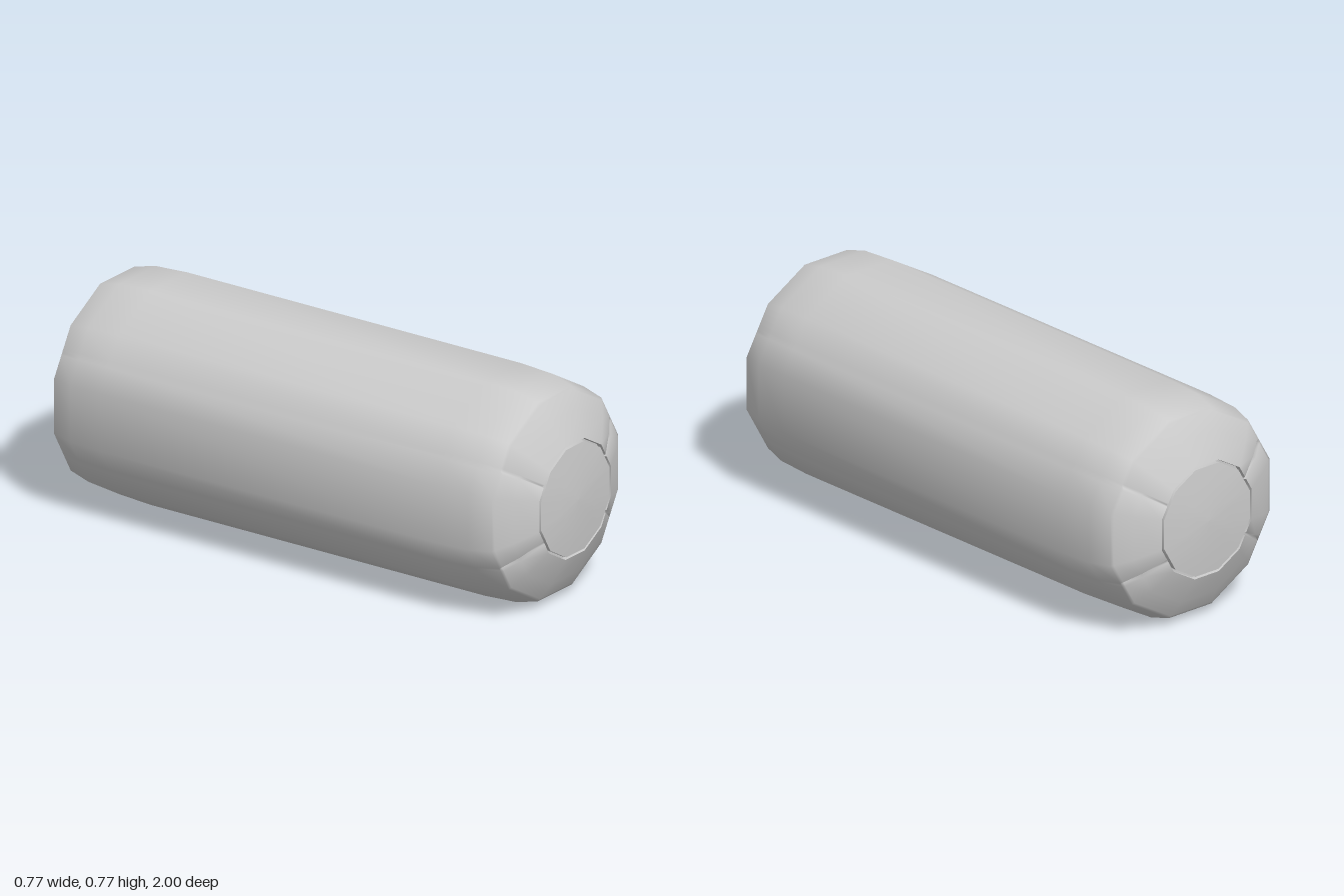
import * as THREE from 'three';

const material = new THREE.MeshStandardMaterial({ color: 0xcccccc, side: THREE.DoubleSide });
const APOTHEM = 0.383;
const rad = THREE.MathUtils.degToRad;

// Columns round the twelve-sided section: the corners, plus three per seam groove
const columns = [];
for (let k = 0; k < 12; k++) {
  const mid = k * 30;
  columns.push({ angle: mid - 15, stretch: 1 / Math.cos(rad(15)), seam: 0 });
  if ([1, 5, 7, 11].includes(k)) {
    for (const d of [-1.6, 0, 1.6]) {
      columns.push({ angle: mid + d, stretch: 1 / Math.cos(rad(d)), seam: d === 0 ? 1 : 0 });
    }
  }
}

// Sweeps a profile of [apothem, z, seam depth] round the z axis
function sweep(name, profile) {
  const positions = [];
  const indices = [];
  const n = profile.length;
  columns.forEach(({ angle, stretch, seam }, i) => {
    for (const [r, z, depth = 0] of profile) {
      const d = depth * seam;
      const R = (r - d * 0.5) * stretch;
      positions.push(R * Math.cos(rad(angle)), R * Math.sin(rad(angle)), z - Math.sign(z) * d * 0.87);
    }
    const a = i * n;
    const b = ((i + 1) % columns.length) * n;
    for (let j = 0; j < n - 1; j++) {
      indices.push(a + j, b + j, b + j + 1, a + j, b + j + 1, a + j + 1);
    }
  });
  const geometry = new THREE.BufferGeometry();
  geometry.setAttribute('position', new THREE.Float32BufferAttribute(positions, 3));
  geometry.setIndex(indices);
  geometry.computeVertexNormals();
  const mesh = new THREE.Mesh(geometry, material);
  mesh.name = name;
  return mesh;
}

// Round end plate with the channel that surrounds it
function createEnd(name) {
  const end = new THREE.Group();
  end.name = name;
  end.add(
    sweep('channelWall', [[0.201, 0.986, 0.012], [0.199, 0.968]]),
    sweep('channelFloor', [[0.199, 0.968], [0.192, 0.968]]),
    sweep('plateRim', [[0.192, 0.968], [0.192, 0.987]]),
    sweep('plate', [[0.192, 0.987], [0.1, 0.997], [0.0005, 1]]),
  );
  return end;
}

export function createModel() {
  const model = new THREE.Group();
  model.name = 'capsule';

  // Shell with rounded shoulders and four seams at each end
  const half = [
    [APOTHEM, 0.69], [0.376, 0.82], [0.355, 0.903],
    [0.346, 0.909, 0.01], [0.29, 0.945, 0.012], [0.201, 0.986, 0.012],
  ];
  const rear = half.map(([r, z, d]) => [r, -z, d]).reverse();
  model.add(sweep('shell', [...rear, ...half]));

  const front = createEnd('frontEnd');
  const back = createEnd('backEnd');
  back.rotation.y = Math.PI;
  model.add(front, back);

  model.children.forEach((part) => { part.position.y = APOTHEM; });
  return model;
}
